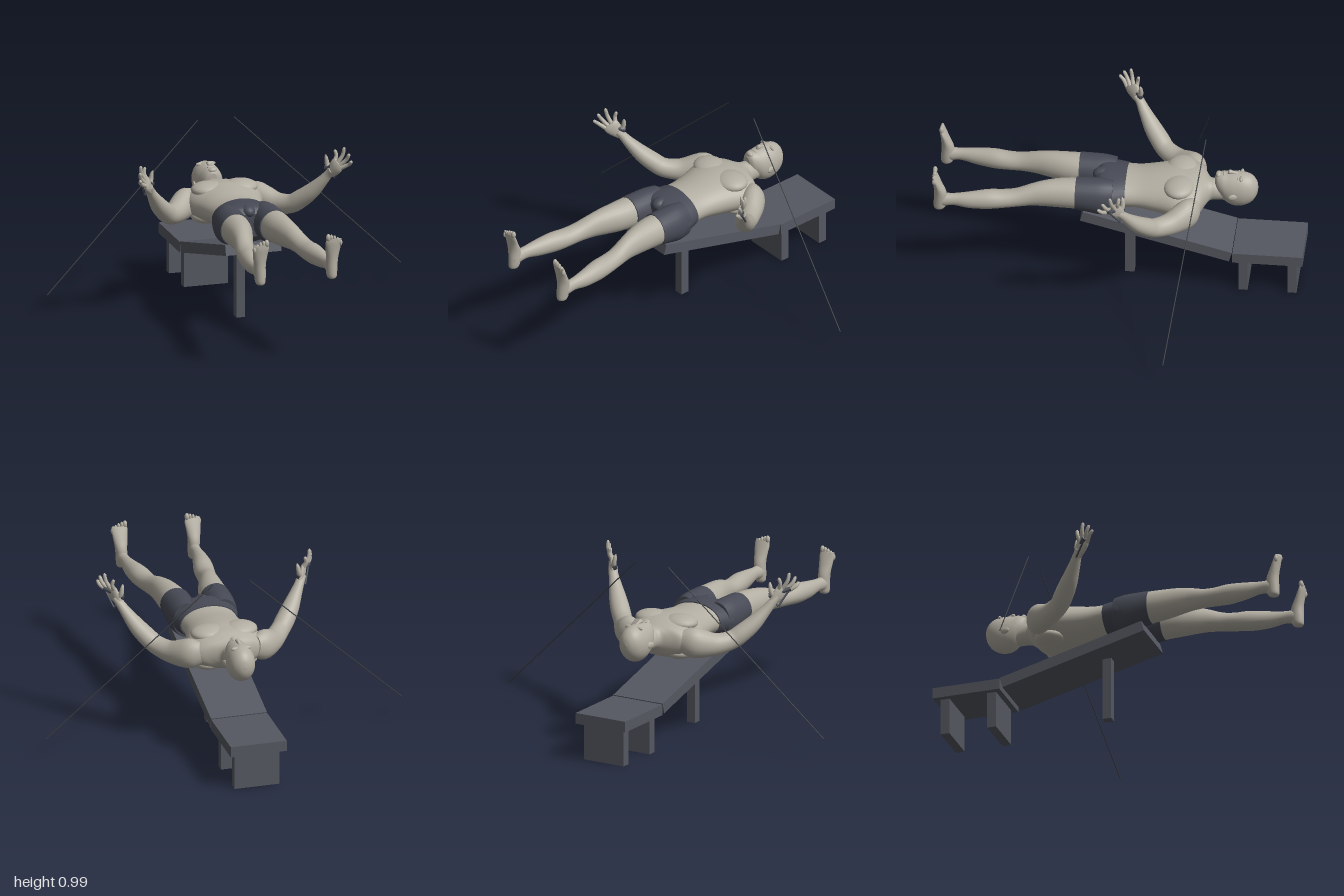
import * as THREE from 'three';

const V = (x, y, z) => new THREE.Vector3(x, y, z);
const mat = (name, color) => new THREE.MeshStandardMaterial({ name, color });
const Y = V(0, 1, 0), Z = V(0, 0, 1);

// Smooth interpolation through rows of [x, y, z, radiusU, radiusV]
function refine(rows, steps) {
  const out = [], at = i => rows[Math.min(rows.length - 1, Math.max(0, i))];
  for (let i = 0; i < rows.length - 1; i++) {
    const [a, b, c, d] = [at(i - 1), at(i), at(i + 1), at(i + 2)];
    for (let k = 0; k < steps; k++) {
      const t = k / steps;
      out.push(b.map((p, n) => p + 0.5 * t * (c[n] - a[n] + t * (2 * a[n] - 5 * p + 4 * c[n] - d[n]
        + t * (3 * (p - c[n]) + d[n] - a[n])))));
    }
  }
  out.push(rows[rows.length - 1]);
  return out;
}

// Closed skin over elliptic rings; rings follow the path unless an axis is given
function loft(rows, { axis, ref = Y, steps = 4, sides = 24 } = {}) {
  const rings = refine(rows, steps), pos = [], idx = [];
  const c = rings.map(r => V(r[0], r[1], r[2])), last = rings.length - 1;
  rings.forEach((r, i) => {
    const T = axis ? axis : c[Math.min(last, i + 1)].clone().sub(c[Math.max(0, i - 1)]).normalize();
    const U = ref.clone().cross(T).normalize(), W = T.clone().cross(U);
    for (let j = 0; j < sides; j++) {
      const a = j / sides * Math.PI * 2;
      const p = c[i].clone().addScaledVector(U, Math.cos(a) * r[3]).addScaledVector(W, Math.sin(a) * r[4]);
      pos.push(p.x, p.y, p.z);
    }
  });
  for (let i = 0; i < last; i++) for (let j = 0; j < sides; j++) {
    const k = (j + 1) % sides, a = i * sides + j, b = i * sides + k;
    idx.push(a, b, a + sides, b, b + sides, a + sides);
  }
  // end caps with their own corners
  for (const i of [0, last]) {
    const base = pos.length / 3;
    pos.push(...pos.slice(i * sides * 3, (i + 1) * sides * 3), c[i].x, c[i].y, c[i].z);
    for (let j = 0; j < sides; j++) {
      const a = base + j, b = base + (j + 1) % sides, m = base + sides;
      if (i) idx.push(a, b, m); else idx.push(b, a, m);
    }
  }
  const g = new THREE.BufferGeometry();
  g.setAttribute('position', new THREE.Float32BufferAttribute(pos, 3));
  g.setIndex(idx);
  g.computeVertexNormals();
  return g;
}

// Rows along z given as [z, halfWidth, lowY, highY]
const body = rows => loft(rows.map(([z, w, lo, hi]) => [0, (lo + hi) / 2, z, w, (hi - lo) / 2]),
  { axis: Z, steps: 5, sides: 40 });

export function createModel() {
  const root = new THREE.Group();
  root.name = 'recliningFigureOnBench';
  const skin = mat('skin', 0xb3aea2), shortsMat = mat('shortsFabric', 0x474a55);
  const benchMat = mat('benchGrey', 0x555861), rodMat = mat('darkRod', 0x3e3f44);

  const add = (name, geo, m, parent = root) => {
    const mesh = new THREE.Mesh(geo, m);
    mesh.name = name;
    parent.add(mesh);
    return mesh;
  };
  const group = name => {
    const g = new THREE.Group();
    g.name = name;
    root.add(g);
    return g;
  };
  const box = (name, w, h, d, x, y, z, parent) => {
    const m = add(name, new THREE.BoxGeometry(w, h, d), benchMat, parent);
    m.position.set(x, y, z);
    return m;
  };
  const blob = (name, x, y, z, rx, ry, rz, m = skin, parent = root) => {
    const b = add(name, new THREE.SphereGeometry(1, 20, 14), m, parent);
    b.position.set(x, y, z);
    b.scale.set(rx, ry, rz);
    return b;
  };
  const rod = (name, a, b, r, m, parent) =>
    add(name, new THREE.TubeGeometry(new THREE.LineCurve3(a, b), 1, r, 8), m, parent);

  // Bench
  const bench = group('bench');
  box('headRest', 0.314, 0.06, 0.38, 0, 0.235, -0.81, bench);
  box('slopingBoard', 0.314, 0.06, 0.835, 0, 0.348, -0.207, bench).rotation.x = -0.262;
  box('frontLeg', 0.05, 0.355, 0.05, 0, 0.1775, -0.053, bench);
  for (const z of [-0.675, -0.94]) box('backLeg', 0.25, 0.21, 0.05, 0, 0.105, z, bench);

  // Torso and neck
  add('torso', body([
    [-0.58, 0.05, 0.52, 0.62], [-0.52, 0.056, 0.52, 0.637], [-0.487, 0.065, 0.515, 0.64],
    [-0.465, 0.11, 0.5, 0.645], [-0.44, 0.175, 0.478, 0.655], [-0.4, 0.21, 0.458, 0.67],
    [-0.35, 0.215, 0.455, 0.677], [-0.29, 0.203, 0.458, 0.68], [-0.2, 0.175, 0.465, 0.672],
    [-0.1, 0.155, 0.48, 0.66], [0, 0.157, 0.475, 0.663]]), skin);

  // Head and face
  const head = group('head');
  add('skull', body([
    [-0.746, 0.004, 0.6, 0.61], [-0.738, 0.032, 0.56, 0.645], [-0.712, 0.06, 0.52, 0.678],
    [-0.67, 0.075, 0.495, 0.694], [-0.62, 0.077, 0.49, 0.695], [-0.58, 0.071, 0.507, 0.692],
    [-0.55, 0.06, 0.54, 0.692], [-0.525, 0.043, 0.57, 0.685], [-0.513, 0.02, 0.6, 0.668]]), skin, head);
  add('nose', loft([[0, 0.69, -0.64, 0.007, 0.006], [0, 0.698, -0.605, 0.01, 0.012],
    [0, 0.701, -0.59, 0.014, 0.012], [0, 0.694, -0.581, 0.007, 0.006]], { axis: Z, sides: 14 }), skin, head);
  blob('lips', 0, 0.69, -0.562, 0.022, 0.007, 0.008, skin, head);
  blob('chin', 0, 0.681, -0.532, 0.024, 0.016, 0.016, skin, head);

  // Shorts
  const shorts = group('shorts');
  add('shortsHips', body([[-0.035, 0.161, 0.469, 0.667], [0.02, 0.178, 0.458, 0.669],
    [0.07, 0.188, 0.455, 0.669], [0.11, 0.17, 0.465, 0.66], [0.14, 0.11, 0.5, 0.63]]), shortsMat, shorts);
  blob('shortsFront', 0, 0.635, 0.1, 0.04, 0.036, 0.05, shortsMat, shorts);

  for (const s of [1, -1]) {
    const side = s > 0 ? 'left' : 'right';
    const flip = rows => rows.map(([x, ...r]) => [x * s, ...r]);

    // Face and chest halves
    blob(side + 'Ear', s * 0.077, 0.585, -0.617, 0.009, 0.018, 0.028, skin, head).rotation.y = s * 0.25;
    blob(side + 'Brow', s * 0.03, 0.682, -0.657, 0.026, 0.011, 0.01, skin, head);
    blob(side + 'Eye', s * 0.029, 0.68, -0.64, 0.013, 0.008, 0.007, skin, head);
    blob(side + 'Pectoral', s * 0.088, 0.644, -0.325, 0.098, 0.042, 0.085);
    blob(side + 'ShoulderBlade', s * 0.1, 0.49, -0.35, 0.08, 0.04, 0.085);

    // Leg
    const leg = group(side + 'Leg');
    add('shortsLeg', loft(flip([[0.1, 0.563, 0.03, 0.08, 0.1], [0.105, 0.564, 0.09, 0.087, 0.107],
      [0.108, 0.572, 0.16, 0.088, 0.099], [0.11, 0.579, 0.23, 0.086, 0.091]]), { axis: Z }), shortsMat, leg);
    add('legSkin', loft(flip([
      [0.11, 0.575, 0.15, 0.08, 0.09], [0.112, 0.579, 0.24, 0.08, 0.087], [0.118, 0.58, 0.32, 0.074, 0.083],
      [0.13, 0.58, 0.4, 0.063, 0.075], [0.143, 0.575, 0.47, 0.054, 0.064], [0.159, 0.562, 0.55, 0.052, 0.052],
      [0.169, 0.556, 0.62, 0.055, 0.05], [0.18, 0.555, 0.7, 0.054, 0.055], [0.194, 0.553, 0.8, 0.042, 0.047],
      [0.2, 0.556, 0.88, 0.03, 0.035], [0.202, 0.552, 0.94, 0.031, 0.038], [0.202, 0.548, 0.975, 0.026, 0.034]]),
    { axis: Z }), skin, leg);
    add('foot', loft(flip([
      [0.202, 0.49, 0.965, 0.012, 0.012], [0.202, 0.502, 0.96, 0.026, 0.03], [0.202, 0.54, 0.955, 0.031, 0.036],
      [0.204, 0.6, 0.955, 0.033, 0.034], [0.205, 0.65, 0.967, 0.039, 0.025], [0.205, 0.695, 0.98, 0.045, 0.017],
      [0.206, 0.72, 0.986, 0.042, 0.011]]), { axis: Y, ref: V(0, 0, -1) }), skin, leg);
    for (let i = 0; i < 5; i++)
      blob('toe', s * (0.174 + i * 0.0175), 0.728 - i * i * 0.002, 0.986,
        i ? 0.009 : 0.013, i ? 0.018 : 0.021, i ? 0.011 : 0.013, skin, leg);

    // Arm
    const arm = group(side + 'Arm');
    add('armSkin', loft(flip([
      [0.15, 0.57, -0.415, 0.04, 0.06], [0.195, 0.562, -0.388, 0.063, 0.082], [0.235, 0.55, -0.35, 0.066, 0.078],
      [0.29, 0.54, -0.285, 0.058, 0.06], [0.345, 0.555, -0.215, 0.052, 0.052], [0.385, 0.59, -0.175, 0.053, 0.05],
      [0.43, 0.64, -0.13, 0.048, 0.044], [0.475, 0.705, -0.085, 0.034, 0.031], [0.503, 0.75, -0.058, 0.026, 0.024],
      [0.52, 0.78, -0.035, 0.026, 0.022]])), skin, arm);

    // Hand: palm, four fingers and thumb
    const hand = group(side + 'Hand'), palmRef = V(s * 0.78, -0.17, -0.46);
    add('palm', loft(flip([[0.505, 0.752, -0.055, 0.025, 0.018], [0.522, 0.782, -0.033, 0.038, 0.019],
      [0.536, 0.808, -0.013, 0.044, 0.017], [0.545, 0.826, -0.003, 0.038, 0.011]]), { ref: palmRef }), skin, hand);
    const tips = [[0.535, 0.89, -0.045], [0.574, 0.913, 0.002], [0.59, 0.885, 0.042], [0.596, 0.85, 0.066]];
    tips.forEach((t, i) => {
      const k = (i - 1.5) * 0.02, a = [0.54 + 0.44 * k, 0.812 - 0.29 * k, -0.008 + 0.85 * k];
      const at = f => a.map((p, n) => p + (t[n] - p) * f + (n === 0 ? 0.012 * Math.sin(f * Math.PI) : 0));
      add('finger', loft(flip([[...at(0), 0.012, 0.012], [...at(0.5), 0.0105, 0.0105],
        [...at(0.9), 0.009, 0.009], [...at(1), 0.003, 0.003]]), { ref: palmRef, sides: 12 }), skin, hand);
    });
    add('thumb', loft(flip([[0.512, 0.775, -0.045, 0.017, 0.017], [0.499, 0.808, -0.06, 0.014, 0.014],
      [0.492, 0.845, -0.06, 0.01, 0.01], [0.488, 0.862, -0.056, 0.003, 0.003]]),
    { ref: palmRef, sides: 12 }), skin, hand);

    // Handle held in the palm, with two straps
    const handle = group(side + 'Handle');
    const a = V(s * 0.574, 0.822, 0.012), b = V(s * 0.487, 0.787, -0.065), c = V(s * 0.537, 0.73, -0.05);
    add('grip', loft([a, b].map(p => [p.x, p.y, p.z, 0.013, 0.013]), { sides: 12 }), shortsMat, handle);
    for (const p of [a, b]) rod('strap', p, c, 0.005, shortsMat, handle);

    // Slanted thin rod beside the body
    rod(side + 'Rod', V(s * 0.998, 0.13, -0.328), V(s * 0.102, 0.99, -0.473), 0.003, rodMat);
  }
  return root;
}
